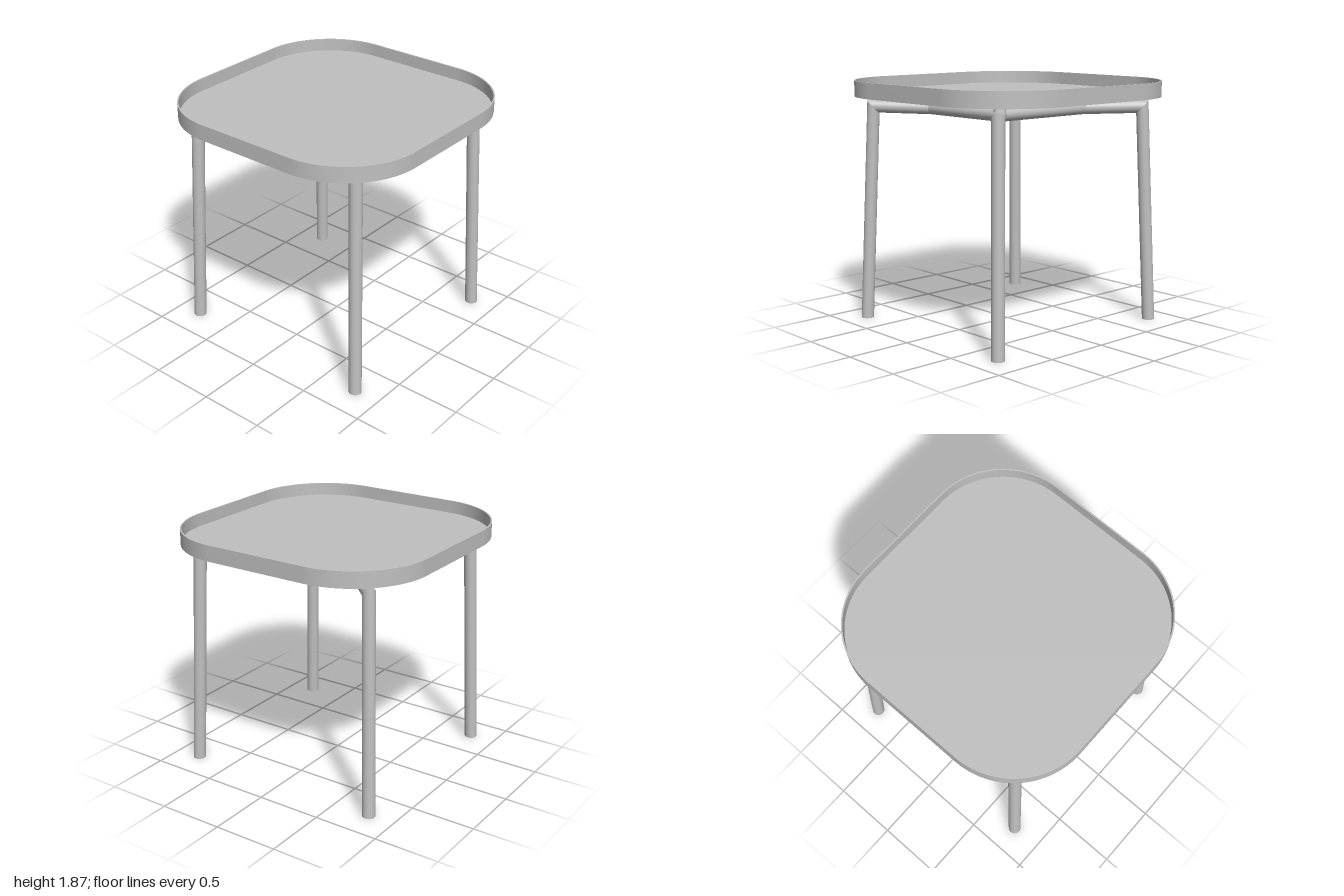
import * as THREE from 'three';
import { toCreasedNormals } from 'three/addons/utils/BufferGeometryUtils.js';

const V = (x, y, z) => new THREE.Vector3(x, y, z);
const TUBE_R = 0.048;

// Square with rounded corners, as a shape or a hole
function roundedSquare(h, r, path = new THREE.Shape()) {
  const c = h - r;
  path.moveTo(c, -h);
  path.absarc(c, -c, r, -Math.PI / 2, 0);
  path.absarc(c, c, r, 0, Math.PI / 2);
  path.absarc(-c, c, r, Math.PI / 2, Math.PI);
  path.absarc(-c, -c, r, Math.PI, Math.PI * 1.5);
  path.closePath();
  return path;
}

// Flat slab of a shape lying between two heights
function slab(shape, y0, y1) {
  const g = new THREE.ExtrudeGeometry(shape, { depth: y1 - y0, bevelEnabled: false, curveSegments: 24 });
  g.rotateX(-Math.PI / 2).translate(0, y0, 0);
  return toCreasedNormals(g, 0.5);
}

// Straight tube from a to b whose ends are cut by planes with normals na and nb
function cutTube(a, b, na, nb) {
  const d = b.clone().sub(a).normalize();
  const q = new THREE.Quaternion().setFromUnitVectors(V(0, 1, 0), d);
  const g = new THREE.CylinderGeometry(TUBE_R, TUBE_R, 1, 28);
  const pos = g.attributes.position;
  for (let i = 0; i < pos.count; i++) {
    const top = pos.getY(i) > 0;
    const n = top ? nb : na;
    const o = V(pos.getX(i), 0, pos.getZ(i)).applyQuaternion(q);
    o.addScaledVector(d, -o.dot(n) / d.dot(n)).add(top ? b : a);
    pos.setXYZ(i, o.x, o.y, o.z);
  }
  const nrm = g.attributes.normal;
  for (let i = 0; i < nrm.count; i++) {
    const n = V(0, 0, 0).fromBufferAttribute(nrm, i).applyQuaternion(q);
    nrm.setXYZ(i, n.x, n.y, n.z);
  }
  return g;
}

export function createModel() {
  const model = new THREE.Group();
  model.name = 'trayTable';
  const metal = new THREE.MeshStandardMaterial({ color: 0xc0c0c0 });
  metal.name = 'light grey metal';

  const add = (name, geometry, parent = model) => {
    const mesh = new THREE.Mesh(geometry, metal);
    mesh.name = name;
    parent.add(mesh);
    return mesh;
  };

  // Tray top: thin floor with a raised rim
  add('trayFloor', slab(roundedSquare(0.99, 0.59), 1.75, 1.772));
  const rim = roundedSquare(1, 0.6);
  rim.holes.push(roundedSquare(0.989, 0.589, new THREE.Path()));
  add('trayRim', slab(rim, 1.75, 1.87));

  // Square frame of mitred tubes under the tray
  const frame = new THREE.Group();
  frame.name = 'frame';
  model.add(frame);
  const signs = [[1, 1], [1, -1], [-1, -1], [-1, 1]];
  const corners = signs.map(([sx, sz]) => V(0.43 * sx, 1.655, 0.39 * sz));
  const mitres = signs.map(([sx, sz]) => V(sx, 0, -sz).normalize());
  corners.forEach((c, i) => {
    const j = (i + 1) % 4;
    add('frameTube', cutTube(c, corners[j], mitres[i], mitres[j]), frame);
  });

  // At each corner: a diagonal arm, a splayed leg and a spacer up to the tray
  signs.forEach(([sx, sz], i) => {
    const support = new THREE.Group();
    support.name = (sz > 0 ? 'front' : 'back') + (sx > 0 ? 'Left' : 'Right') + 'Support';
    model.add(support);
    const foot = V(0.796 * sx, 0, 0.767 * sz);
    const elbow = V(0.741 * sx, 1.667, 0.711 * sz);
    const legDir = elbow.clone().sub(foot).normalize();
    const armDir = corners[i].clone().sub(elbow).normalize();
    const mitre = legDir.clone().add(armDir).normalize();
    add('leg', cutTube(foot, elbow, V(0, 1, 0), mitre), support);
    add('arm', cutTube(elbow, corners[i], mitre, armDir), support);
    const spacer = add('spacer', new THREE.CylinderGeometry(0.046, 0.046, 0.09, 20), support);
    spacer.position.set(0.432 * sx, 1.707, 0.388 * sz);
  });

  return model;
}
